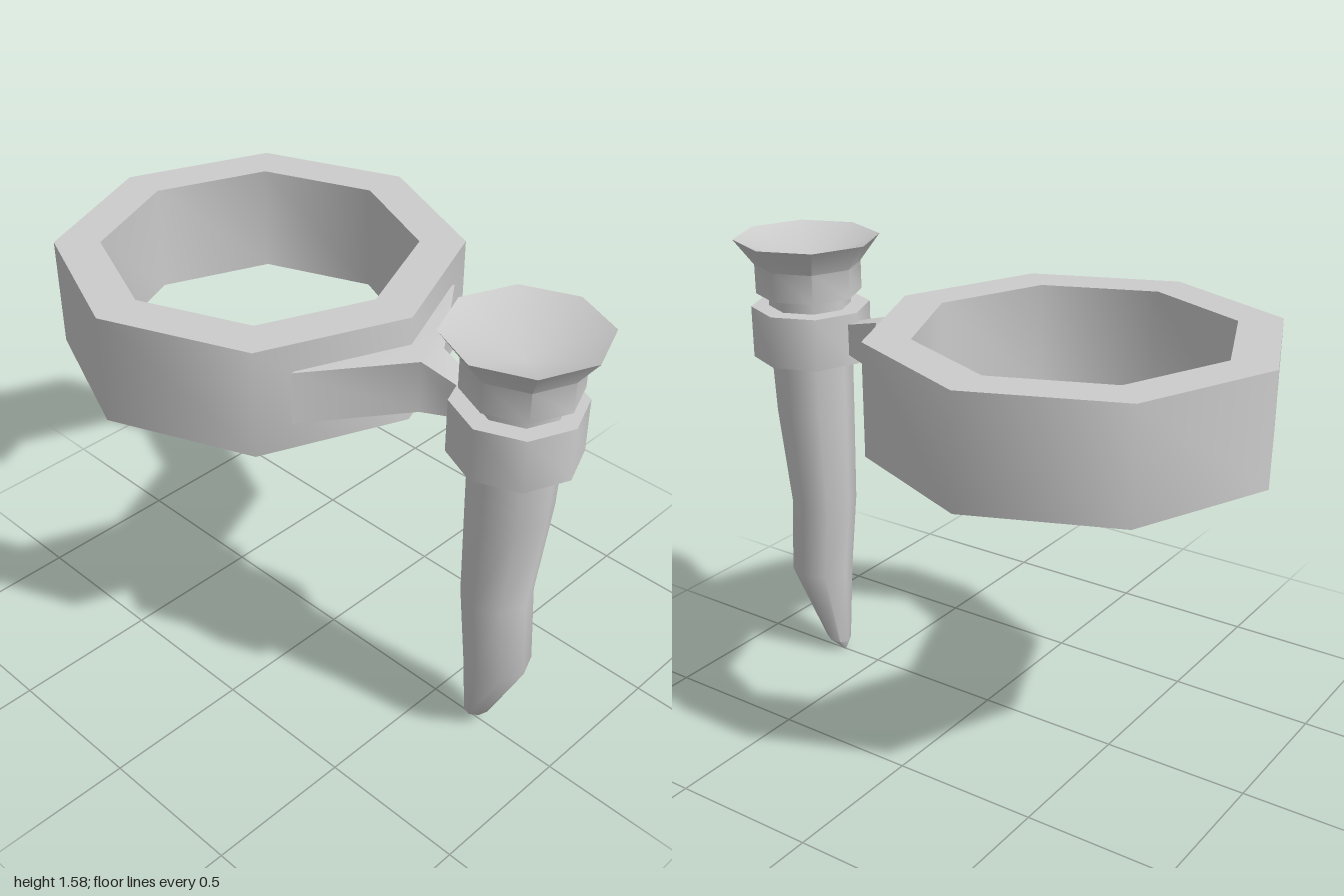
import * as THREE from 'three';
import { toCreasedNormals } from 'three/addons/utils/BufferGeometryUtils.js';

const CREASE = 0.9; // octagon sides (45 degrees) blend, sharper edges stay crisp

function addPart(group, name, geometry, x = 0) {
  const material = new THREE.MeshStandardMaterial({ color: 0xcccccc });
  const mesh = new THREE.Mesh(toCreasedNormals(geometry, CREASE), material);
  mesh.name = name;
  mesh.position.x = x;
  group.add(mesh);
}

// Eight-sided turned part from [radius, y] pairs
function turned(profile) {
  return new THREE.LatheGeometry(profile.map(([r, y]) => new THREE.Vector2(r, y)), 8);
}

// Closed skin over cross-sections that all have the same number of points
function loft(sections) {
  const n = sections[0].length;
  const index = [];
  for (let s = 0; s < sections.length - 1; s++) {
    for (let i = 0; i < n; i++) {
      const j = (i + 1) % n;
      const a = s * n + i, b = s * n + j;
      index.push(a, a + n, b, b, a + n, b + n);
    }
  }
  const last = (sections.length - 1) * n;
  for (let i = 1; i < n - 1; i++) {
    index.push(0, i, i + 1);
    index.push(last, last + i + 1, last + i);
  }
  const geometry = new THREE.BufferGeometry();
  geometry.setAttribute('position', new THREE.Float32BufferAttribute(sections.flat(2), 3));
  geometry.setIndex(index);
  return geometry;
}

export function createModel() {
  const model = new THREE.Group();

  // Wide octagonal band
  addPart(model, 'ring', turned([
    [0.515, 1.07], [0.665, 1.07], [0.665, 1.44], [0.515, 1.44], [0.515, 1.07],
  ]), -0.335);

  // Tapering bracket from the ring to the collar: [x, half width, bottom, top]
  const bracket = [
    [0.185, 0.365, 1.165, 1.345],
    [0.415, 0.052, 1.165, 1.345],
    [0.57, 0.03, 1.205, 1.305],
  ].map(([x, w, lo, hi]) => [[x, hi, w], [x, hi, -w], [x, lo, -w], [x, lo, w]]);
  addPart(model, 'bracket', loft(bracket));

  // Collar holding the horn
  addPart(model, 'collar', turned([
    [0, 1.165], [0.205, 1.165], [0.205, 1.345], [0, 1.345],
  ]), 0.745);

  // Bent horn, tip first: [left x, right x, half depth, y, rise to the right]
  const horn = [
    [0.655, 0.661, 0.003, 0.002, 0],
    [0.642, 0.73, 0.045, 0.05, 0.01],
    [0.64, 0.86, 0.112, 0.33, 0],
    [0.61, 0.84, 0.117, 0.61, 0],
    [0.606, 0.882, 0.134, 0.96, 0],
    [0.605, 0.89, 0.14, 1.15, 0],
    [0.605, 0.89, 0.14, 1.4, 0],
  ].map(([x0, x1, rz, y, rise]) => Array.from({ length: 8 }, (_, i) => {
    const c = Math.cos(i * Math.PI / 4), s = Math.sin(i * Math.PI / 4);
    return [(x0 + x1) / 2 + c * (x1 - x0) / 2, y + rise * c, rz * s];
  }));
  addPart(model, 'horn', loft(horn));

  // Flared mouth with a dished top
  addPart(model, 'mouth', turned([
    [0, 1.39], [0.182, 1.39], [0.182, 1.49], [0.25, 1.58], [0, 1.48],
  ]), 0.75);

  return model;
}
